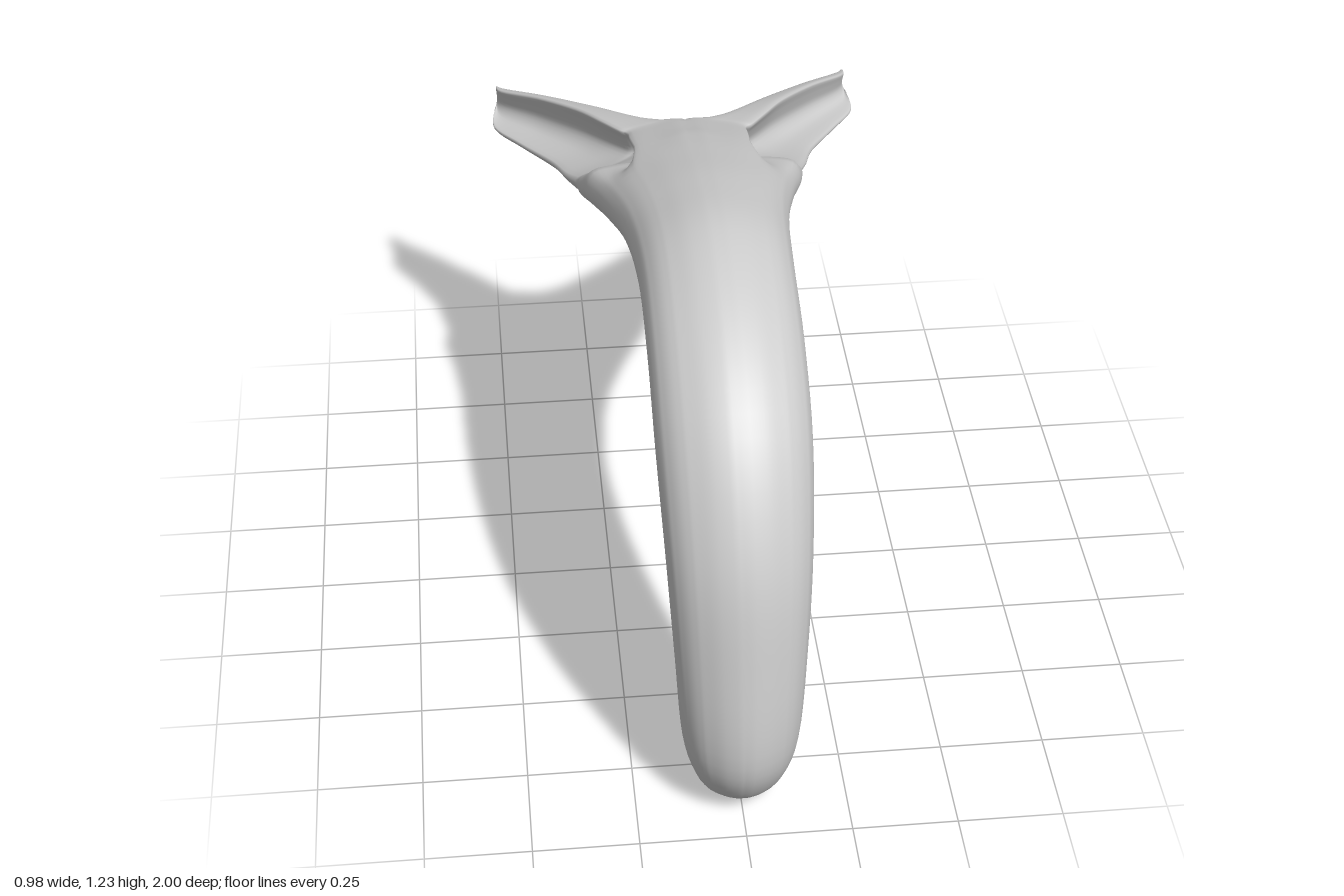
import * as THREE from 'three';

// Half cross-sections (u: centre to outside, v: inner curve to outer curve).
// Trunk: half of a C open on the underside. Fork: a slit opens near the top. Prong: a C open outwards.
const TRUNK = [[0, 1], [.33, .93], [.6, .75], [.7, .66], [.79, .55], [.87, .41], [.94, .24], [1, -.1], [.95, -.5],
  [.77, -.88], [.55, -1], [.42, -.85], [.34, -.4], [.18, -.08], [0, 0], [0, .3], [0, .7]];
const FORK = [[0, 1], [.3, .97], [.52, .88], [.5, .7], [.5, .45], [.68, .47], [.92, .42], [1, 0], [.95, -.4],
  [.77, -.8], [.55, -.97], [.42, -.95], [.3, -.86], [.15, -.78], [0, -.75], [0, -.2], [0, .35]];
const PRONG = [[.12, .75], [.3, .95], [.5, 1], [.43, .55], [.37, 0], [.55, -.4], [1, -.5], [.95, -.75], [.82, -.93],
  [.65, -1], [.5, -.99], [.4, -.95], [.3, -.88], [.2, -.78], [.1, -.6], [0, -.2], [0, .3]];
const INNER_EDGES = [0, 14];   // where a section meets the centre plane

// Stations from the foot over the arch to the prong tip:
// inner x, outer-curve z and y, inner-curve z and y, half width, forward lean,
// section (0 trunk, 1 fork, 2 prong)
const STATIONS = [
  [0, .87, 0, .78, .012, .065, 0, 0],
  [0, .95, .08, .75, .06, .105, 0, 0],
  [0, .998, .21, .745, .2, .137, 0, 0],
  [0, .98, .44, .75, .42, .152, 0, 0],
  [0, .92, .73, .71, .64, .166, 0, 0],
  [0, .77, .99, .6, .83, .177, 0, 0],
  [0, .55, 1.15, .44, .95, .179, 0, 0],
  [0, .29, 1.228, .25, .99, .182, 0, 0],
  [0, .04, 1.205, .02, .97, .2, 0, 0],
  [0, -.19, 1.15, -.19, .92, .24, .01, .08],
  [0, -.36, 1.1, -.37, .875, .275, .06, 1],
  [0, -.525, 1.05, -.525, .85, .29, .12, 1.4],
  [.045, -.555, 1.04, -.555, .843, .25, .11, 1.55],
  [.11, -.62, 1.025, -.62, .835, .205, .1, 1.75],
  [.2, -.72, 1.0, -.72, .823, .145, .09, 1.9],
  [.32, -.85, .96, -.85, .812, .1, .08, 2],
  [.44, -.965, .92, -.965, .81, .045, .085, 2],
  [.47, -.998, .905, -.998, .835, .012, .05, 2],
];
const STEPS = 5;   // subdivisions between stations
const RING = 68;   // points around a section

// Station values at a fractional index, by Catmull-Rom
function stationAt(t) {
  const last = STATIONS.length - 1, i = Math.min(Math.floor(t), last - 1), f = t - i;
  const at = k => STATIONS[Math.min(last, Math.max(0, k))];
  return STATIONS[0].map((_, c) => {
    const [a, b, d, e] = [at(i - 1)[c], at(i)[c], at(i + 1)[c], at(i + 2)[c]];
    return b + .5 * f * (d - a + f * (2 * a - 5 * b + 4 * d - e + f * (3 * (b - d) + e - a)));
  });
}

// Smooth closed section; spread moves the inner edges off the centre plane
function section(blend, spread) {
  const [from, to, g] = blend < 1 ? [TRUNK, FORK, blend] : [FORK, PRONG, blend - 1];
  const points = from.map(([u, v], k) => {
    const [tu, tv] = to[k];
    const scale = INNER_EDGES.includes(k) ? spread : 1;
    return new THREE.Vector3((u + (tu - u) * g) * scale, v + (tv - v) * g, 0);
  });
  const curve = new THREE.CatmullRomCurve3(points, true, 'catmullrom', .5);
  return Array.from({ length: RING }, (_, k) => {
    const p = curve.getPoint(k / RING);
    return new THREE.Vector2(Math.max(p.x, 0), p.y);
  });
}

// One half of the body, lofted through all stations; side is +1 or -1
function halfBody(side) {
  const positions = [], index = [], rings = [];
  const rows = (STATIONS.length - 1) * STEPS;
  const onCentre = i => Math.abs(positions[i * 3]) < 1e-4;
  const face = (a, b, c) => index.push(...(side > 0 ? [a, b, c] : [a, c, b]));

  for (let r = 0; r <= rows; r++) {
    const [x0, zt, yt, zb, yb, w, lean, blend] = stationAt(r / STEPS);
    const xc = Math.max(0, x0);
    const ring = section(THREE.MathUtils.clamp(blend, 0, 2), Math.min(1, xc / .08));
    rings.push(ring);
    for (const { x: u, y: v } of ring) {
      const h = (v + 1) / 2;
      positions.push(side * (xc + u * w), yb + (yt - yb) * h, zb + (zt - zb) * h + u * lean);
    }
  }
  // Skin, leaving out the hidden wall where the two halves meet
  for (let r = 0; r < rows; r++) {
    for (let k = 0; k < RING; k++) {
      const a = r * RING + k, b = r * RING + (k + 1) % RING, c = a + RING, d = b + RING;
      if ([a, b, c, d].every(onCentre)) continue;
      face(a, b, c);
      face(b, d, c);
    }
  }
  // Foot and tip caps
  for (const [a, b, c] of THREE.ShapeUtils.triangulateShape(rings[0], [])) face(a, b, c);
  const o = rows * RING;
  for (const [a, b, c] of THREE.ShapeUtils.triangulateShape(rings[rows], [])) face(o + a, o + c, o + b);

  const geometry = new THREE.BufferGeometry();
  geometry.setAttribute('position', new THREE.Float32BufferAttribute(positions, 3));
  geometry.setIndex(index);
  geometry.computeVertexNormals();
  // Normals on the centre plane lie in it, so the halves join without a seam
  const normal = geometry.attributes.normal, n = new THREE.Vector3();
  for (let i = 0; i < normal.count; i++) {
    if (!onCentre(i)) continue;
    n.fromBufferAttribute(normal, i).setX(0);
    if (n.lengthSq() > 1e-6) {
      n.normalize();
      normal.setXYZ(i, n.x, n.y, n.z);
    }
  }
  return geometry;
}

export function createModel() {
  const model = new THREE.Group();
  model.name = 'forkedArch';
  const material = new THREE.MeshStandardMaterial({ color: 0xcccccc, side: THREE.DoubleSide });
  for (const [name, side] of [['leftHalf', 1], ['rightHalf', -1]]) {
    const mesh = new THREE.Mesh(halfBody(side), material);
    mesh.name = name;
    model.add(mesh);
  }
  return model;
}
